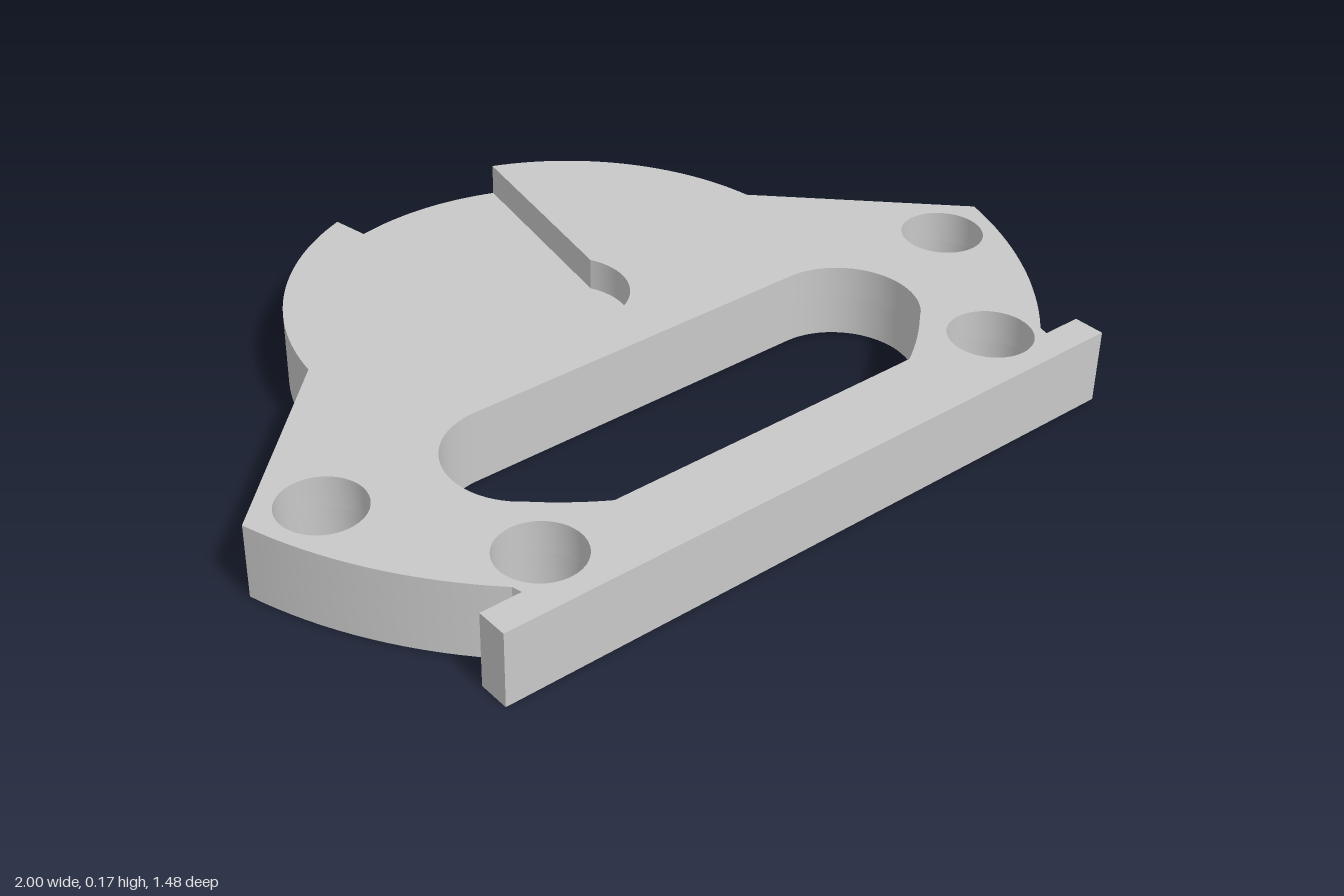
import * as THREE from 'three';
import { toCreasedNormals } from 'three/addons/utils/BufferGeometryUtils.js';

const HEIGHT = 0.172, FLOOR = 0.097;   // plate top and groove floor
const CZ = -0.12, R = 0.621;           // hub centre and rounded end radius

// Points [x, z] along an arc; angles run from +x towards +z
function arc(cx, cz, r, a0, a1, n) {
  return Array.from({ length: n + 1 }, (_, i) => {
    const a = a0 + (a1 - a0) * i / n;
    return [cx + r * Math.cos(a), cz + r * Math.sin(a)];
  });
}

// Closed symmetric outline from its +x half
function mirrored(half) {
  const other = half.filter(p => Math.abs(p[0]) > 1e-6).reverse().map(([x, z]) => [-x, z]);
  return [...half, ...other];
}

const toVectors = pts => pts.map(([x, z]) => new THREE.Vector2(x, -z));

// Upright plate; the cap at height openY is left out where layers join.
// Holes run opposite to the outline so their walls face inwards.
function layer(outline, holes, y0, y1, openY) {
  const shape = new THREE.Shape(toVectors(outline));
  shape.holes = holes.map(h => new THREE.Path(toVectors(h).reverse()));
  const geo = new THREE.ExtrudeGeometry(shape, { depth: y1 - y0, bevelEnabled: false });
  geo.rotateX(-Math.PI / 2).translate(0, y0, 0);
  const p = geo.attributes.position, kept = [];
  for (let i = 0; i < p.count; i += 3) {
    if ([0, 1, 2].every(k => Math.abs(p.getY(i + k) - openY) < 1e-5)) continue;
    for (let k = 0; k < 3; k++) kept.push(p.getX(i + k), p.getY(i + k), p.getZ(i + k));
  }
  const open = new THREE.BufferGeometry();
  open.setAttribute('position', new THREE.Float32BufferAttribute(kept, 3));
  return toCreasedNormals(open, 0.45);
}

export function createModel() {
  const group = new THREE.Group();
  const grey = new THREE.MeshStandardMaterial({ color: 0xc8c8c8 });
  grey.name = 'light grey';
  const add = (name, geo) => {
    const mesh = new THREE.Mesh(geo, grey);
    mesh.name = name;
    group.add(mesh);
  };

  // Rounded end, split where the groove leaves it
  const mouth = -Math.acos(0.225 / R);
  const backArc = arc(0, CZ, R, -Math.PI / 2, mouth, 10);
  const sideArc = arc(0, CZ, R, mouth, Math.asin(-0.08 / R), 30);
  // Wing, curved flank, notch and front bar
  const wing = [
    ...arc(0, CZ, 1.044, Math.atan2(0.3, 1), Math.atan2(0.765, 0.711), 16),
    [0.705, 0.667], [0.8, 0.667], [0.8, 0.74],
  ];
  // Keyhole groove
  const keyhole = arc(0, CZ, 0.147, Math.PI / 2, -0.49, 24);

  // Through openings: wide slot and four bolt holes
  const slot = mirrored([
    ...arc(0.438, 0.316, 0.169, -Math.PI / 2, Math.PI / 4, 24),
    ...arc(0, CZ, 0.785, 0.81, Math.atan2(0.675, 0.4), 8),
  ]);
  const holes = [slot];
  for (const s of [-1, 1])
    for (const [x, z] of [[0.849, 0.22], [0.608, 0.594]])
      holes.push(arc(s * x, z, 0.094, 0, Math.PI * 2, 40).slice(0, -1));

  add('lowerPlate', layer(mirrored([...backArc, ...sideArc, ...wing]), holes, 0, FLOOR, FLOOR));
  add('upperPlate', layer(mirrored([...keyhole, ...sideArc, ...wing]), holes, FLOOR, HEIGHT, FLOOR));

  // Floor of the groove
  const floorOutline = mirrored([...keyhole, ...backArc.slice().reverse()]);
  const floor = new THREE.ShapeGeometry(new THREE.Shape(toVectors(floorOutline)));
  add('grooveFloor', floor.rotateX(-Math.PI / 2).translate(0, FLOOR, 0));

  return group;
}
